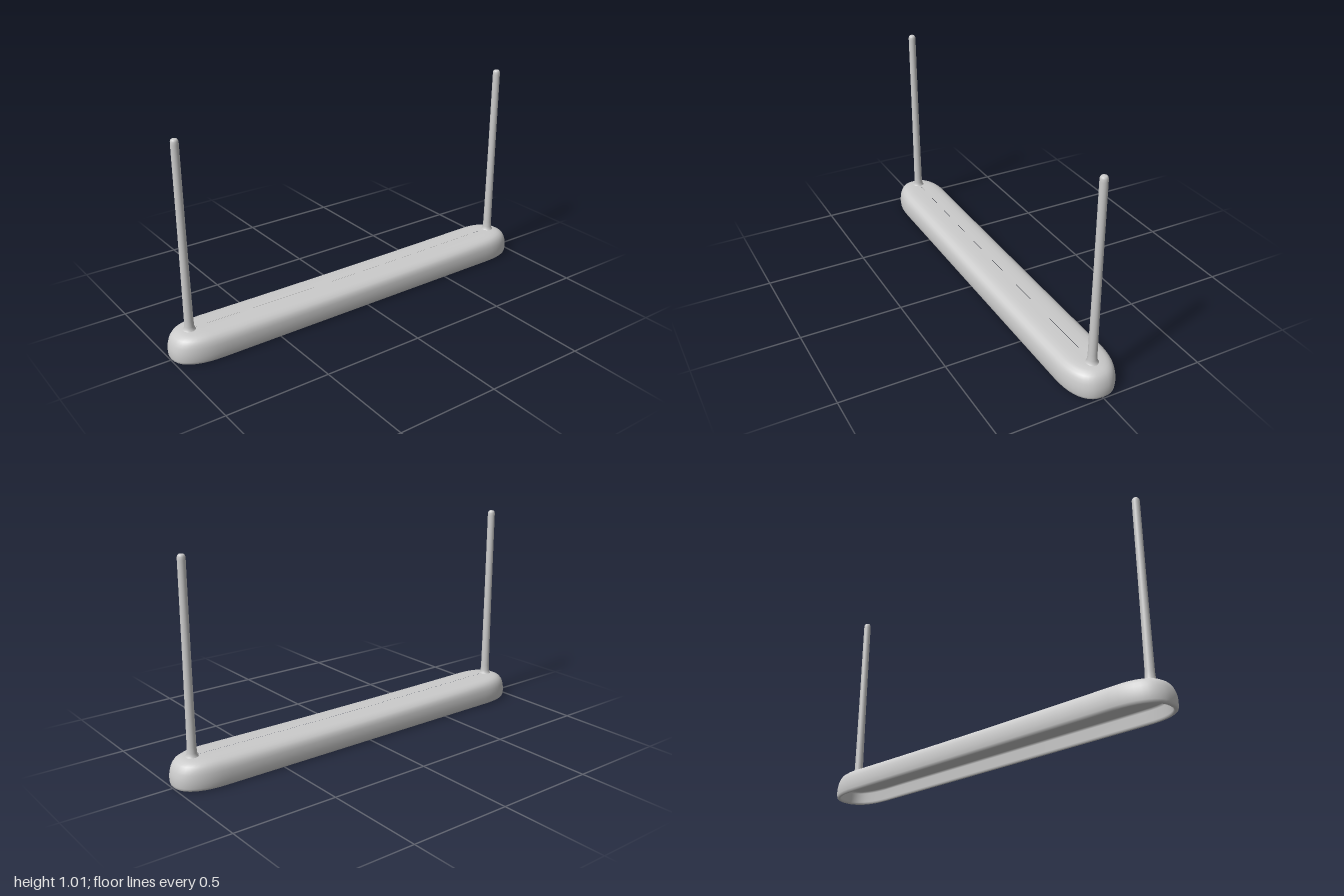
import * as THREE from 'three';

const material = new THREE.MeshStandardMaterial({ color: 0xcccccc });

// Closed plan outline: straight sides and blunt rounded ends
function outline(w, l) {
  const end = 0.22 * Math.min(1, w / 0.126), pts = [];
  const ARC = 20, SIDE = 12, p = 2 / 2.4;
  const pw = v => Math.sign(v) * Math.pow(Math.abs(v), p);
  for (const s of [1, -1]) {
    for (let i = 0; i <= ARC; i++) {
      const a = -Math.PI / 2 + (Math.PI * i) / ARC;
      pts.push([s * (l - end + end * pw(Math.cos(a))), s * w * pw(Math.sin(a))]);
    }
    for (let i = 1; i < SIDE; i++) pts.push([s * (l - end) * (1 - (2 * i) / SIDE), s * w]);
  }
  return pts;
}

// Shell skinned over rings of [half width, half length, height]
function shellGeometry(rings) {
  const pos = [], index = [];
  const n = outline(0.1, 0.9).length;
  for (const [w, l, y] of rings) {
    for (const [x, z] of outline(w, l)) {
      // the top sags slightly between the posts
      const sag = y > 0.1 ? 0.005 * Math.max(0, 1 - (x / 0.85) ** 2) : 0;
      pos.push(x, y - sag, z);
    }
  }
  for (let i = 0; i < rings.length - 1; i++) {
    for (let j = 0; j < n; j++) {
      const a = i * n + j, c = i * n + ((j + 1) % n), b = a + n, d = c + n;
      index.push(a, b, c, c, b, d);
    }
  }
  const g = new THREE.BufferGeometry();
  g.setAttribute('position', new THREE.Float32BufferAttribute(pos, 3));
  g.setIndex(index);
  g.computeVertexNormals();
  return g;
}

export function createModel() {
  const group = new THREE.Group();

  // Long hollow housing: recessed ceiling, inner wall, lip, outer wall, crown
  const housing = new THREE.Mesh(shellGeometry([
    [0.0005, 0.85, 0.065], [0.05, 0.92, 0.065], [0.096, 0.966, 0.065],
    [0.1, 0.97, 0.062], [0.102, 0.973, 0.055], [0.104, 0.978, 0.01],
    [0.106, 0.981, 0.002], [0.109, 0.985, 0], [0.115, 0.992, 0],
    [0.12, 0.997, 0.004], [0.124, 0.999, 0.014], [0.126, 1, 0.035],
    [0.1255, 0.998, 0.055], [0.123, 0.993, 0.075], [0.118, 0.986, 0.092],
    [0.109, 0.975, 0.107], [0.096, 0.96, 0.116], [0.08, 0.945, 0.1215],
    [0.055, 0.925, 0.1245], [0.025, 0.9, 0.125], [0.0005, 0.87, 0.125],
  ]), material);
  housing.name = 'housing';
  group.add(housing);

  // Upright posts with flared feet and rounded tips
  const profile = [
    [0.034, 0.118], [0.029, 0.125], [0.025, 0.131], [0.0225, 0.142], [0.021, 0.17],
    [0.02, 0.3], [0.0185, 0.6], [0.018, 0.99], [0.0175, 1.003], [0.015, 1.01],
    [0.011, 1.014], [0, 1.015],
  ].map(([r, y]) => new THREE.Vector2(r, y));
  const postGeometry = new THREE.LatheGeometry(profile, 24);
  for (const side of [1, -1]) {
    const post = new THREE.Mesh(postGeometry, material);
    post.name = side > 0 ? 'leftPost' : 'rightPost';
    post.position.x = side * 0.9;
    group.add(post);
  }
  return group;
}
